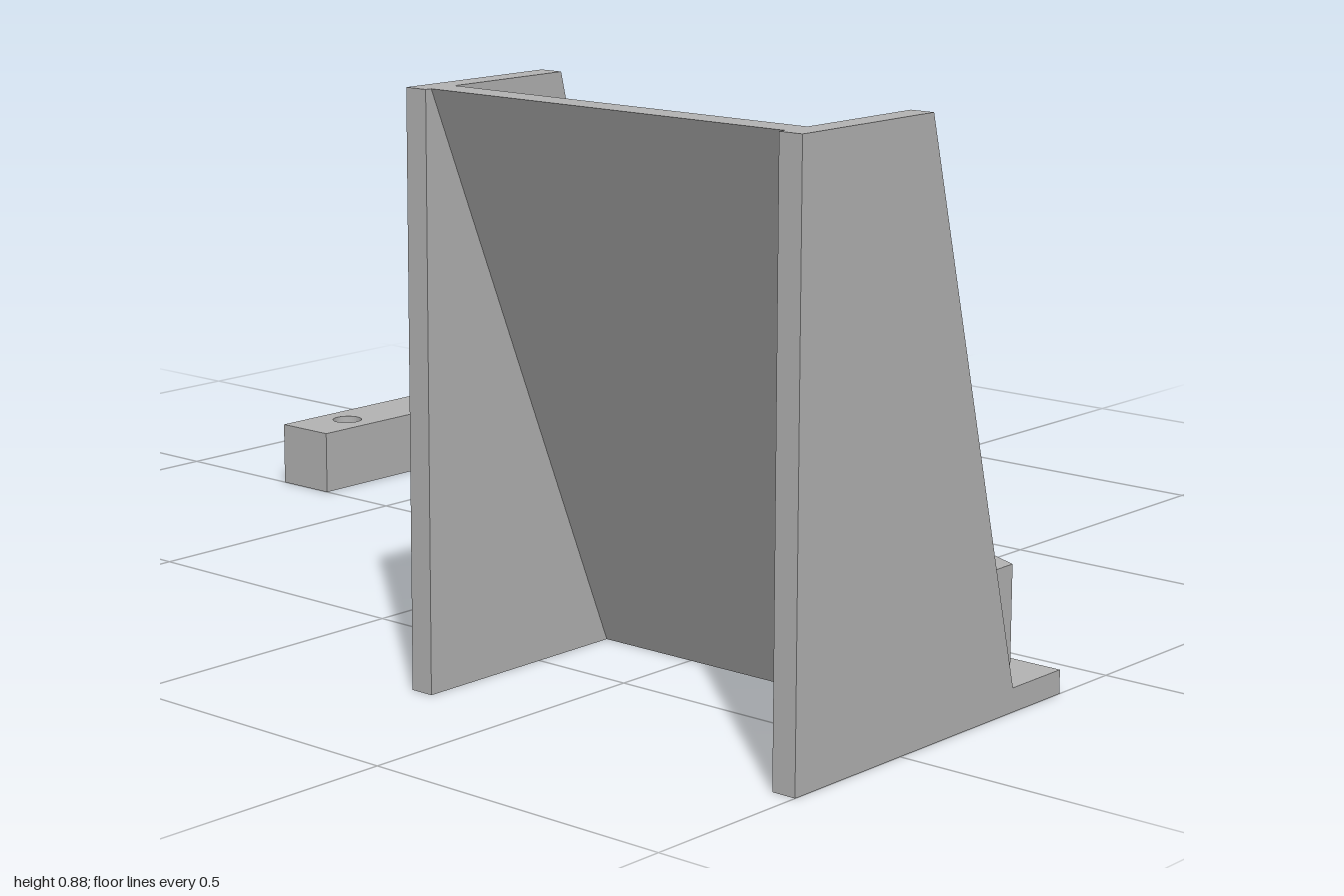
import * as THREE from 'three';

const HOLE_R = 0.026;

// Polygon from point pairs, with optional round holes
function polygon(points, holes = []) {
  const shape = new THREE.Shape(points.map(([a, b]) => new THREE.Vector2(a, b)));
  for (const [a, b] of holes) {
    shape.holes.push(new THREE.Path().absarc(a, b, HOLE_R, 0, Math.PI * 2, true));
  }
  return shape;
}

// Plan outline (x, z) raised from y0 to y1
function fromPlan(shape, y0, y1) {
  const g = new THREE.ExtrudeGeometry(shape, { depth: y1 - y0, bevelEnabled: false, curveSegments: 20 });
  return g.rotateX(Math.PI / 2).translate(0, y1, 0);
}

// Side profile (z, y) stretched from x0 to x1
function fromProfile(points, x0, x1) {
  const g = new THREE.ExtrudeGeometry(polygon(points), { depth: x1 - x0, bevelEnabled: false });
  return g.rotateY(-Math.PI / 2).translate(x1, 0, 0);
}

export function createModel() {
  const group = new THREE.Group();
  const grey = new THREE.MeshStandardMaterial({ color: 0xb4b4b4 });
  grey.name = 'light grey';
  const add = (name, geometry) => {
    const mesh = new THREE.Mesh(geometry, grey);
    mesh.name = name;
    group.add(mesh);
  };

  const left = 0.295, innerLeft = 0.333, innerRight = 0.962, right = 1;
  const holeXs = [0.44, 0.848], holeZ = 0.31;
  const baseTop = 0.036, height = 0.875, footFront = 0.35;
  const slope = (height - baseTop) / (0.67 - holeZ);
  const backY = (z) => baseTop + (z - holeZ) * slope;

  // Tapered side plates
  const side = [[0.728, 0], [0.728, height], [0.45, height], [0.237, baseTop], [0.237, 0]];
  add('sidePlateRight', fromProfile(side, left, innerLeft));
  add('sidePlateLeft', fromProfile(side, innerRight, right));

  // Base plate, narrowing between the side plates, with two screw holes
  add('basePlate', fromPlan(polygon([
    [left, 0.12], [right, 0.12], [right, 0.237], [innerRight, 0.237],
    [innerRight, footFront], [innerLeft, footFront], [innerLeft, 0.237], [left, 0.237],
  ], holeXs.map((x) => [x, holeZ])), 0, baseTop));

  // Leaning panel
  add('leaningPanel', fromProfile([
    [footFront, 0], [0.717, height], [0.67, height], [footFront, backY(footFront)],
  ], innerLeft, innerRight));

  // Foot of the panel, notched by the screw holes, its top following the lean
  const foot = new THREE.Shape();
  foot.moveTo(innerLeft, holeZ);
  for (const x of holeXs) {
    foot.lineTo(x - HOLE_R, holeZ);
    foot.absarc(x, holeZ, HOLE_R, Math.PI, 0, true);
  }
  foot.lineTo(innerRight, holeZ);
  foot.lineTo(innerRight, footFront);
  foot.lineTo(innerLeft, footFront);
  const footGeo = fromPlan(foot, baseTop, 0.2);
  const pos = footGeo.attributes.position;
  for (let i = 0; i < pos.count; i++) {
    if (pos.getY(i) > 0.1) pos.setY(i, backY(pos.getZ(i)));
  }
  footGeo.computeVertexNormals();
  add('panelFoot', footGeo);

  // Long diagonal bar
  add('diagonalBar', fromPlan(polygon([
    [-1, -0.73], [innerRight, 0.19], [innerRight, 0.243], [-1, -0.677],
  ]), 0, 0.2));

  // Short block joining bar and panel, its corner cut by the screw hole
  const block = new THREE.Shape();
  const bite = Math.acos((holeXs[1] - 0.83) / HOLE_R);
  block.moveTo(0.72, 0.15);
  block.lineTo(0.83, 0.15);
  block.absarc(holeXs[1], holeZ, HOLE_R, Math.PI + bite, Math.PI - bite, true);
  block.lineTo(0.83, 0.34);
  block.lineTo(0.72, 0.34);
  add('joiningBlock', fromPlan(block, baseTop, 0.107));

  // Support arm with a screw hole
  add('supportArm', fromPlan(polygon([
    [-0.76, -0.547], [-0.65, -0.547], [-0.65, 0], [-0.76, 0],
  ], [[-0.705, -0.105]]), 0, 0.107));

  return group;
}
